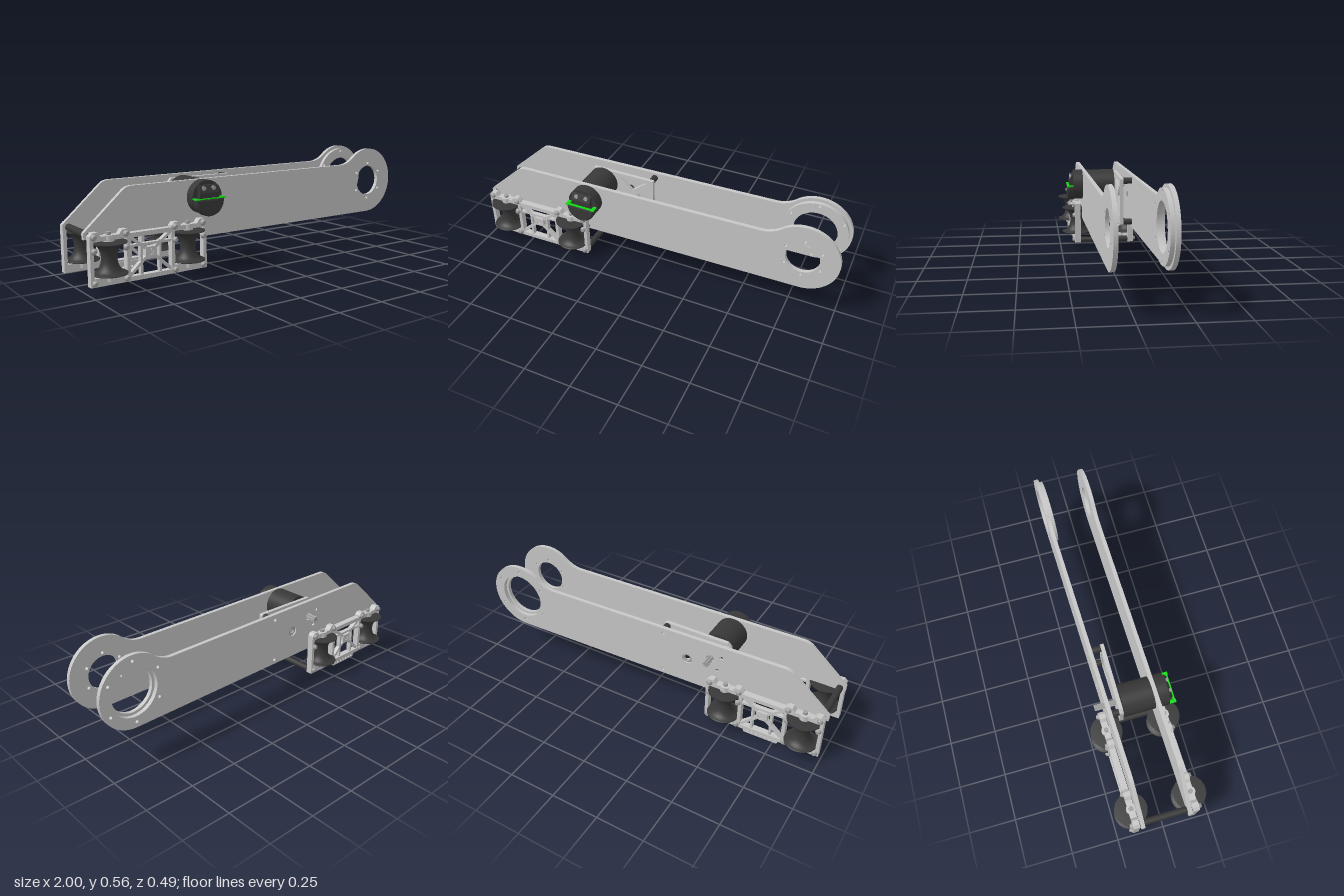
import * as THREE from 'three';

const mat = (name, color) => {
  const m = new THREE.MeshStandardMaterial({ color });
  m.name = name;
  return m;
};

export function createModel() {
  const silver = mat('brushed aluminium', 0xc6c6c6);
  const dark = mat('black plastic', 0x383838);
  const steel = mat('steel', 0xa0a0a0);
  const green = mat('green trim', 0x10dd10);
  const model = new THREE.Group();
  model.name = 'armAssembly';

  const add = (parent, name, geo, material, x = 0, y = 0, z = 0) => {
    const m = new THREE.Mesh(geo, material);
    m.name = name;
    m.position.set(x, y, z);
    parent.add(m);
    return m;
  };
  const box = (p, name, material, x0, x1, y0, y1, z0, z1) =>
    add(p, name, new THREE.BoxGeometry(x1 - x0, y1 - y0, z1 - z0), material,
      (x0 + x1) / 2, (y0 + y1) / 2, (z0 + z1) / 2);
  // Cylinder along z; r2 is the radius at the z1 end
  const cylZ = (p, name, material, r, x, y, z0, z1, sides = 24, r2 = r) =>
    add(p, name, new THREE.CylinderGeometry(r2, r, z1 - z0, sides).rotateX(Math.PI / 2), material,
      x, y, (z0 + z1) / 2);
  // Straight strut in the xy plane
  const bar = (p, name, material, x0, y0, x1, y1, w, z, d) => {
    const m = add(p, name, new THREE.BoxGeometry(Math.hypot(x1 - x0, y1 - y0), w, d), material,
      (x0 + x1) / 2, (y0 + y1) / 2, z);
    m.rotation.z = Math.atan2(y1 - y0, x1 - x0);
  };
  const circle = (x, y, r) => new THREE.Path().absarc(x, y, r, 0, Math.PI * 2);
  const poly = (pts, Type = THREE.Shape) => new Type(pts.map(p => new THREE.Vector2(...p)));
  const rect = (x0, x1, y0, y1) => poly([[x0, y0], [x1, y0], [x1, y1], [x0, y1]], THREE.Path);
  // Flat plate centred on z = 0
  const plate = (shape, depth) =>
    new THREE.ExtrudeGeometry(shape, { depth, bevelEnabled: false, curveSegments: 32 }).translate(0, 0, -depth / 2);

  const CX = 0.81, CY = 0.371, R = 0.187;

  // Long arm plate with round eye
  function armShape(eyeR, boltR, extra) {
    const s = new THREE.Shape();
    s.moveTo(-1, 0.25);
    s.lineTo(-0.38, 0.25);
    s.lineTo(-0.38, 0.185);
    s.lineTo(CX, CY - R);
    s.absarc(CX, CY, R, -Math.PI / 2, Math.PI * 0.7);
    s.quadraticCurveTo(0.65, 0.477, 0.59, 0.475);
    s.lineTo(-0.75, 0.475);
    s.quadraticCurveTo(-0.78, 0.475, -0.8, 0.458);
    s.lineTo(-1, 0.28);
    s.holes.push(circle(CX, CY, eyeR));
    for (let i = 0; i < 6; i++) {
      const a = Math.PI / 2 + i * Math.PI / 3;
      s.holes.push(circle(CX + boltR * Math.cos(a), CY + boltR * Math.sin(a), 0.008));
    }
    extra.forEach(h => s.holes.push(circle(...h)));
    return s;
  }

  // Spool roller profile with concave waist
  const spool = [[0, 0.085], [0.085, 0.085]];
  for (let i = 0; i <= 20; i++) {
    const a = -Math.PI / 2 + i * Math.PI / 20;
    spool.push([0.085 - 0.048 * Math.cos(a), 0.16 + 0.07 * Math.sin(a)]);
  }
  spool.push([0.085, 0.235], [0, 0.235]);
  const spoolGeo = new THREE.LatheGeometry(spool.map(p => new THREE.Vector2(...p)), 40);

  // Roller carriage: two square frames joined by a truss; dir points outward
  function carriage(parent, zc, dir) {
    const g = new THREE.Group();
    g.name = 'rollerCarriage';
    g.position.z = zc;
    parent.add(g);
    const D = 0.034;
    for (const cx of [-0.89, -0.47]) {
      const s = poly([[cx - 0.1, 0.035], [cx + 0.1, 0.035], [cx + 0.1, 0.27], [cx + 0.085, 0.285],
        [cx + 0.06, 0.285], [cx + 0.045, 0.265], [cx - 0.045, 0.265], [cx - 0.06, 0.285],
        [cx - 0.085, 0.285], [cx - 0.1, 0.27]]);
      s.holes.push(rect(cx - 0.082, cx + 0.082, 0.075, 0.243));
      add(g, 'rollerFrame', plate(s, D), silver);
      add(g, 'roller', spoolGeo, dark, cx);
      // Vertical roller axle with bearing bosses
      add(g, 'axle', new THREE.CylinderGeometry(0.012, 0.012, 0.24, 20), steel, cx, 0.16);
      for (const y of [0.065, 0.252])
        add(g, 'axleBoss', new THREE.CylinderGeometry(0.026, 0.026, 0.03, 24), silver, cx, y);
      for (const sx of [-0.08, 0.08])
        for (const y of [0.053, 0.2, 0.265]) {
          const z = dir * D / 2, e = z + dir * 0.014;
          cylZ(g, 'frameBolt', steel, dir > 0 ? 0.016 : 0.009, cx + sx, y,
            Math.min(z, e), Math.max(z, e), 20, dir > 0 ? 0.009 : 0.016);
        }
    }
    // Middle truss
    const x0 = -0.79, x1 = -0.57, xm = -0.68;
    bar(g, 'trussRail', silver, x0, 0.252, x1, 0.252, 0.022, 0, D);
    bar(g, 'trussRail', silver, x0, 0.045, x1, 0.045, 0.022, 0, D);
    for (const [ex, sx] of [[x0, -1], [x1, 1]]) {
      bar(g, 'trussStrut', silver, ex, 0.245, xm, 0.16, 0.014, 0, 0.024);
      bar(g, 'trussStrut', silver, ex, 0.06, xm, 0.16, 0.014, 0, 0.024);
      bar(g, 'trussPost', silver, xm + sx * 0.05, 0.045, xm + sx * 0.05, 0.21, 0.012, 0, 0.024);
    }
    bar(g, 'trussCrossRail', silver, x0, 0.2, x1, 0.2, 0.012, 0, 0.024);
    const hub = poly([[xm - 0.03, 0.135], [xm + 0.03, 0.135], [xm + 0.03, 0.185], [xm - 0.03, 0.185]]);
    hub.holes.push(circle(xm, 0.16, 0.014));
    add(g, 'trussHub', plate(hub, 0.03), silver);
  }

  // Front side
  const front = new THREE.Group();
  front.name = 'frontSide';
  front.position.z = 0.106;
  front.rotation.y = 0.02;
  model.add(front);
  add(front, 'frontArmPlate', plate(armShape(0.086, 0.104, []), 0.021), silver);
  carriage(front, 0.036, 1);

  // Back side
  const back = new THREE.Group();
  back.name = 'backSide';
  back.position.z = -0.145;
  back.rotation.y = 0.025;
  model.add(back);
  add(back, 'backArmPlate', plate(armShape(0.128, 0.157, [[-0.24, 0.335, 0.028], [-0.37, 0.385, 0.022],
    [-0.1, 0.21, 0.009], [-0.1, 0.445, 0.009], [-0.43, 0.41, 0.009], [-0.41, 0.325, 0.009]]), 0.021), silver);
  carriage(back, -0.03, -1);
  // Bearing in the gear hole
  add(back, 'bearing', new THREE.TorusGeometry(0.021, 0.007, 10, 28), steel, -0.24, 0.335, 0);
  // Retaining ring on the inner face of the eye
  const ring = new THREE.Shape().absarc(CX, CY, 0.17, 0, Math.PI * 2);
  ring.holes.push(circle(CX, CY, 0.114));
  for (let i = 0; i < 6; i++) {
    const a = Math.PI / 2 + i * Math.PI / 3;
    ring.holes.push(circle(CX + 0.157 * Math.cos(a), CY + 0.157 * Math.sin(a), 0.008));
  }
  add(back, 'eyeRing', plate(ring, 0.02), silver, 0, 0, 0.0205);
  // Hanging tab with a row of holes
  const tab = poly([[-0.79, 0.045], [-0.77, 0.002], [-0.59, 0.002], [-0.57, 0.045]]);
  for (let i = 0; i < 7; i++) tab.holes.push(circle(-0.755 + i * 0.025, 0.016, 0.006));
  add(back, 'holeTab', plate(tab, 0.024), silver, 0, 0, -0.02);

  // Cross rods between the two sides
  cylZ(model, 'lowerRod', dark, 0.017, -0.388, 0.05, -0.15, 0.135);
  cylZ(model, 'middleRod', dark, 0.017, -0.388, 0.2, -0.14, 0.13);
  cylZ(model, 'endRod', dark, 0.017, -0.97, 0.265, -0.14, 0.14);

  // Motor
  const MX = -0.37, MY = 0.39;
  cylZ(model, 'motorBody', dark, 0.085, MX, MY, -0.06, 0.178, 48);
  const cap = new THREE.Shape().absarc(MX, MY - 0.004, 0.07, Math.PI, Math.PI * 2);
  add(model, 'motorCap', new THREE.ExtrudeGeometry(cap, { depth: 0.025, bevelSize: 0.009,
    bevelThickness: 0.01, bevelSegments: 2, curveSegments: 24 }), dark, 0, -0.008, 0.178);
  const wedge = poly([[0.17, 0.38], [0.2, 0.38], [0.2, 0.415], [0.186, 0.452], [0.17, 0.455]]);
  add(model, 'motorTerminalBlock', plate(wedge, 0.11).rotateY(-Math.PI / 2), dark, MX);
  for (const s of [-1, 1]) {
    cylZ(model, 'terminal', steel, 0.011, MX + s * 0.028, 0.437, 0.178, 0.197, 16);
    const x = MX + s * 0.075;
    box(model, 'motorTrim', green, x - 0.009, x + 0.009, 0.384, 0.391, 0.174, 0.215);
  }
  box(model, 'motorTrimFront', green, MX - 0.07, MX + 0.07, 0.385, 0.389, 0.2, 0.212);

  // Gearbox plate with lightening holes
  const gp = poly([[-0.45, 0.3], [-0.38, 0.27], [-0.11, 0.197], [-0.075, 0.197], [-0.07, 0.205],
    [-0.07, 0.455], [-0.075, 0.462], [-0.43, 0.462], [-0.45, 0.44]]);
  gp.holes.push(poly([[-0.27, 0.44], [-0.2, 0.37], [-0.11, 0.44]], THREE.Path));
  gp.holes.push(poly([[-0.095, 0.42], [-0.17, 0.35], [-0.095, 0.235]], THREE.Path));
  gp.holes.push(poly([[-0.27, 0.29], [-0.2, 0.31], [-0.13, 0.23]], THREE.Path));
  add(model, 'gearboxPlate', plate(gp, 0.02), silver, 0, 0, -0.075);
  for (const [x, y] of [[-0.09, 0.445], [-0.09, 0.215], [-0.43, 0.41], [-0.41, 0.325]])
    cylZ(model, 'standoff', dark, 0.017, x, y, -0.134, -0.085);

  // Toothed output shaft
  const pinion = new THREE.Shape();
  for (let i = 0; i < 24; i++) {
    const a = i * Math.PI / 12, r = (i >> 1) % 2 ? 0.011 : 0.016;
    pinion[i ? 'lineTo' : 'moveTo'](r * Math.cos(a), r * Math.sin(a));
  }
  add(model, 'pinion', plate(pinion, 0.12), steel, MX, 0.383, -0.138);
  return model;
}
